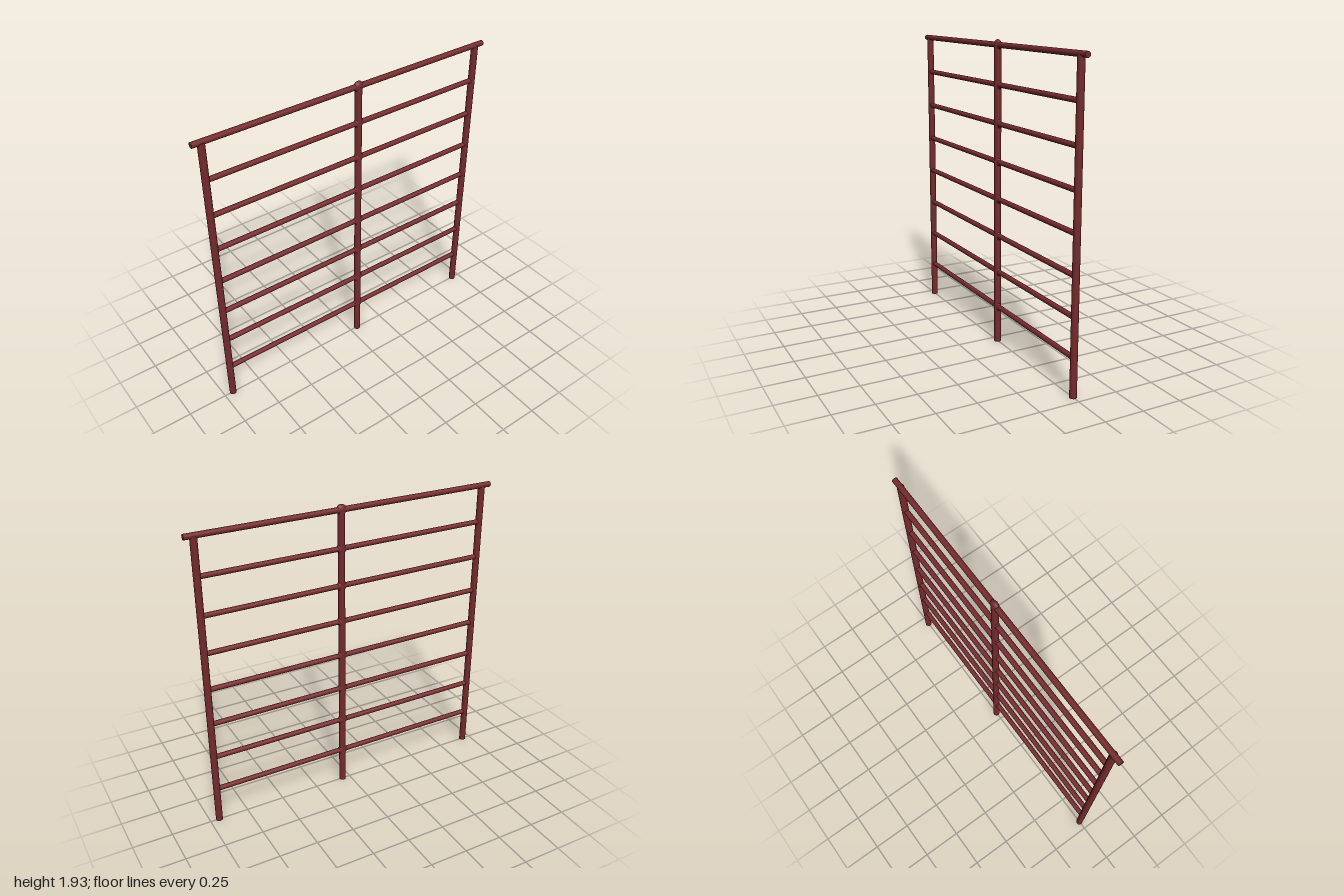
import * as THREE from 'three';

export function createModel() {
  const group = new THREE.Group();
  const paint = new THREE.MeshStandardMaterial({ color: 0x742a2c });
  paint.name = 'dark red paint';

  const topY = 1.893;
  const middleX = 0.054;
  const spacing = topY / 8;

  function add(name, geometry, x, y, z = 0) {
    const mesh = new THREE.Mesh(geometry, paint);
    mesh.name = name;
    mesh.position.set(x, y, z);
    group.add(mesh);
    return mesh;
  }

  // Upright posts
  const postGeometry = new THREE.CylinderGeometry(0.0215, 0.0215, topY, 24);
  add('rightPost', postGeometry, -0.942, topY / 2);
  add('middlePost', postGeometry, middleX, topY / 2);
  add('leftPost', postGeometry, 0.942, topY / 2);

  // Top rail overhanging the end posts
  const topRailGeometry = new THREE.CylinderGeometry(0.0175, 0.0175, 2, 24).rotateZ(Math.PI / 2);
  add('topRail', topRailGeometry, 0, topY, -0.001);

  // Evenly spaced rails and the flattened joints on the middle post
  const railGeometry = new THREE.CylinderGeometry(0.016, 0.016, 1.88, 24).rotateZ(Math.PI / 2);
  const jointGeometry = new THREE.SphereGeometry(0.033, 24, 16).scale(1, 1, 0.63);
  for (let i = 1; i <= 8; i++) {
    if (i < 8) add('rail' + i, railGeometry, 0, i * spacing);
    add('joint' + i, jointGeometry, middleX, i * spacing);
  }

  return group;
}
